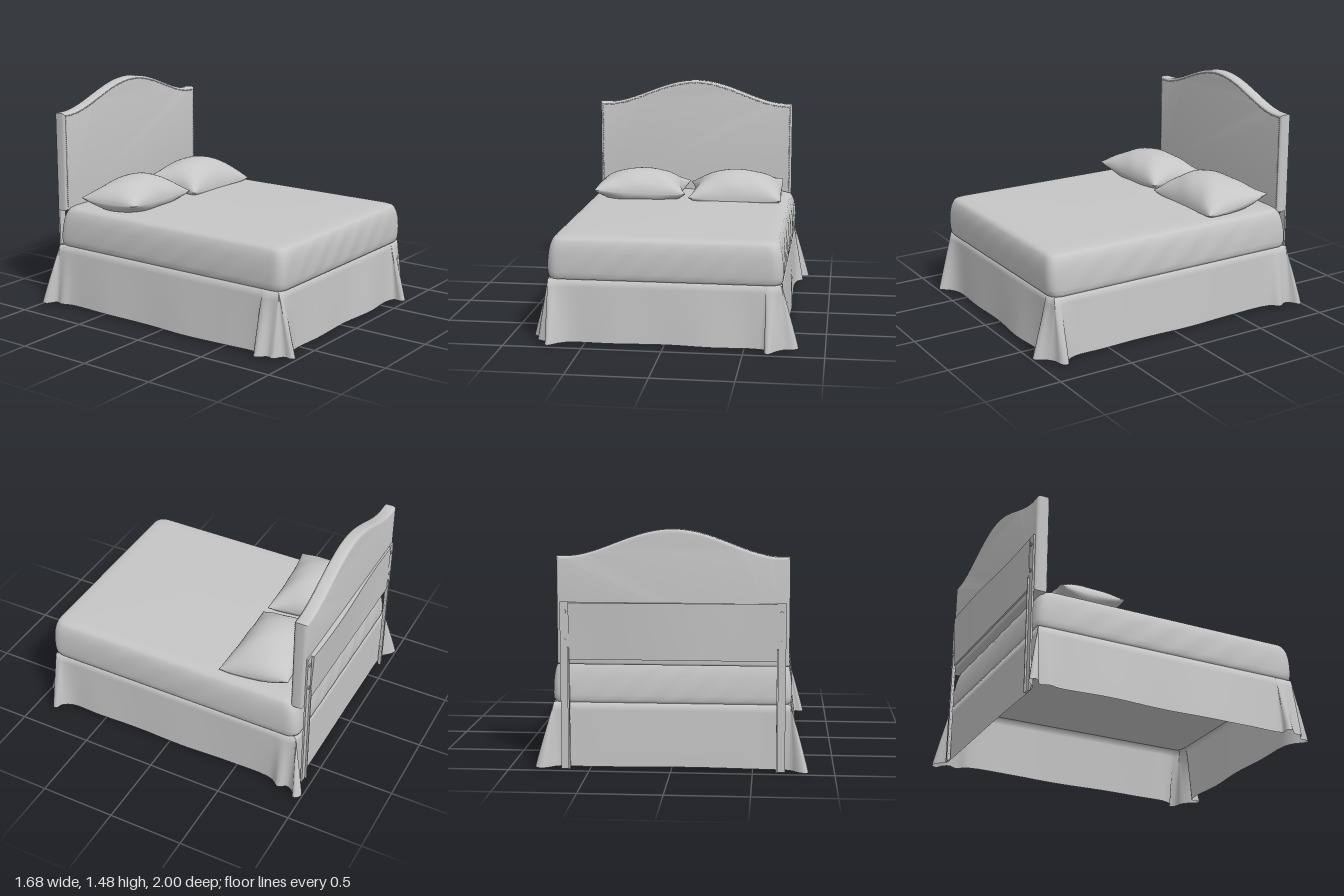
import * as THREE from 'three';
import { mergeGeometries, toCreasedNormals } from 'three/addons/utils/BufferGeometryUtils.js';

const clamp = THREE.MathUtils.clamp;

// Joins closed rings of [x, y, z] points, listed bottom to top, into a smooth skin
function loft(rings) {
  const n = rings[0].length, index = [];
  for (let j = 0; j < rings.length - 1; j++) {
    for (let i = 0; i < n; i++) {
      const a = j * n + i, b = j * n + (i + 1) % n;
      index.push(a, a + n, b, b, a + n, b + n);
    }
  }
  const geo = new THREE.BufferGeometry();
  geo.setAttribute('position', new THREE.Float32BufferAttribute(rings.flat(2), 3));
  geo.setIndex(index);
  geo.computeVertexNormals();
  return geo;
}

// Rounded rectangle ring centred at z = cz, points bunched toward the corners
function rectRing(hx, hz, cz, radius, y, ripple) {
  const pts = [], n = 48, r = Math.min(radius, hx, hz);
  for (let side = 0; side < 4; side++) {
    for (let k = 0; k < n; k++) {
      const s = Math.sin((k / n - 0.5) * Math.PI);
      const [u, v] = [[1, s], [-s, 1], [-1, -s], [s, -1]][side];
      const p = new THREE.Vector2(u * hx, v * hz);
      const core = new THREE.Vector2(clamp(p.x, r - hx, hx - r), clamp(p.y, r - hz, hz - r));
      p.sub(core).setLength(r + ripple * Math.sin(s * 23 + y * 30 + side) * (1 - s * s)).add(core);
      pts.push([p.x, y, p.y + cz]);
    }
  }
  return pts;
}

function mattressGeometry() {
  // [y, inset from the widest outline, ripple]; the full inset closes bottom and top
  const hx = 0.737, hz = 0.914;
  const rows = [[0.41, hx, 0], [0.41, 0.03, 0], [0.412, 0.012, 0], [0.43, 0.003, 0.001], [0.46, 0, 0.003],
    [0.52, 0.001, 0.004], [0.58, 0.007, 0.003], [0.62, 0.015, 0.002], [0.65, 0.026, 0.001], [0.668, 0.038, 0],
    [0.677, 0.06, 0], [0.682, 0.12, 0], [0.687, 0.4, 0], [0.689, hx, 0]];
  return loft(rows.map(([y, inset, ripple]) =>
    rectRing(hx - inset, hz - inset, -0.008 + (y - 0.41) * 0.06, 0.07, y, ripple)));
}

// Skirt hem with flared folds at the corners; its top follows the bed outline
function skirtGeometry() {
  const outline = [
    // back, then the back left corner and left side
    [-0.45, -0.925], [-0.2, -0.925], [0.2, -0.925], [0.45, -0.925], [0.64, -0.925], [0.7, -0.93], [0.76, -0.98],
    [0.8, -0.998], [0.84, -0.96], [0.785, -0.92], [0.77, -0.88], [0.8, -0.83], [0.755, -0.76], [0.742, -0.45],
    [0.752, -0.1], [0.748, 0.25], [0.757, 0.55], [0.755, 0.76],
    // front left corner and front
    [0.79, 0.83], [0.838, 0.85], [0.82, 0.885], [0.75, 0.9], [0.7, 0.94], [0.655, 1.0], [0.633, 0.985],
    [0.635, 0.925], [0.56, 0.905], [0.3, 0.925], [0, 0.905], [-0.3, 0.91], [-0.58, 0.905],
    // front right corner and right side
    [-0.65, 0.935], [-0.715, 1.0], [-0.735, 0.985], [-0.735, 0.93], [-0.8, 0.89], [-0.79, 0.85],
    [-0.843, 0.79], [-0.825, 0.765], [-0.778, 0.77], [-0.775, 0.5], [-0.782, 0.2], [-0.77, -0.1],
    [-0.78, -0.45], [-0.77, -0.78],
    // back right corner
    [-0.79, -0.86], [-0.775, -0.91], [-0.84, -0.955], [-0.83, -0.998], [-0.785, -0.985], [-0.73, -0.935],
    [-0.64, -0.925]];
  const curve = new THREE.CatmullRomCurve3(outline.map(([x, z]) => new THREE.Vector3(x, 0, z)), true);
  const hem = curve.getSpacedPoints(360).slice(0, -1);
  const topEdge = hem.map((p) => [clamp(p.x, -0.73, 0.727), 0.411, clamp(p.z, -0.912, 0.885)]);
  const rings = [];
  for (let j = 0; j <= 8; j++) {
    const t = j / 8, f = Math.pow(t, 1.05);
    rings.push(hem.map((p, i) => {
      const low = 0.013 + 0.003 * Math.sin(i * Math.PI / 30), [tx, ty, tz] = topEdge[i];
      return [p.x + (tx - p.x) * f, low + (ty - low) * t, p.z + (tz - p.z) * f];
    }));
  }
  // turned in under the mattress
  rings.push(topEdge.map(([x, , z]) => [x * 0.93, 0.413, z * 0.93]));
  return loft(rings);
}

// Pillow between four corners [x, y, z]: back left, back right, front left, front right.
// The end given by inner (-1 or 1) is drawn in more; the underside rests on the bed
function pillowGeometry([bl, br, fl, fr], inner) {
  const faces = [1, -1].map((side) => {
    const geo = new THREE.PlaneGeometry(2, 2, 32, 28), pos = geo.attributes.position;
    for (let i = 0; i < pos.count; i++) {
      const u = Math.sin(pos.getX(i) * Math.PI / 2) * side, v = Math.sin(pos.getY(i) * Math.PI / 2);
      const pinch = 0.07 + 0.06 * u * inner;
      const a = (u * (1 - pinch * (1 - v * v)) + 1) / 2, b = (v * (1 - 0.08 * (1 - u * u)) + 1) / 2;
      const mix = (k) => (fl[k] * (1 - a) + fr[k] * a) * (1 - b) + (bl[k] * (1 - a) + br[k] * a) * b;
      const puff = Math.pow(Math.max(0, (1 - u * u) * (1 - v * v)), 0.5);
      const seam = mix(1) - 0.02 * (1 - u * u * v * v);
      const crease = 0.012 * Math.sin(9 * u + 5 * v) * puff * (1 - puff);
      const y = seam + crease + (side > 0 ? 0.88 - seam : -0.1) * puff;
      pos.setXYZ(i, mix(0), Math.max(0.683, y), mix(2));
    }
    geo.computeVertexNormals();
    return geo;
  });
  return mergeGeometries(faces);
}

// Height of the arched headboard edge
const crestY = (x) =>
  1.316 + 0.165 * Math.pow(0.5 + 0.5 * Math.cos(Math.PI * Math.min(1, Math.abs(x) / 0.645)), 0.87);

function headboardGeometry() {
  const w = 0.708, shape = new THREE.Shape();
  shape.moveTo(-w, 0.65);
  shape.lineTo(w, 0.65);
  for (let i = 0; i <= 60; i++) {
    const x = w - (2 * w * i) / 60;
    shape.lineTo(x, crestY(x));
  }
  const geo = new THREE.ExtrudeGeometry(shape, { depth: 0.044, bevelSize: 0.018, bevelOffset: -0.018,
    bevelThickness: 0.02, bevelSegments: 4 });
  return toCreasedNormals(geo.translate(0, 0, -0.915), 0.6);
}

// Row of small studs following the headboard border
function studGeometry() {
  const spots = [], edge = 0.69;
  for (let y = 0.68; y < 1.29; y += 0.014) spots.push([-edge, y], [edge, y]);
  for (let i = 0; i <= 100; i++) {
    const x = -edge + (2 * edge * i) / 100;
    spots.push([x, crestY(x) - 0.018]);
  }
  return mergeGeometries(spots.map(([x, y]) =>
    new THREE.CylinderGeometry(0.003, 0.005, 0.004, 6).rotateX(Math.PI / 2).translate(x, y, -0.85)));
}

// Rear board with a slightly warped outer face
function rearPanelGeometry() {
  const geo = new THREE.BoxGeometry(1.27, 0.35, 0.02, 24, 6, 1), pos = geo.attributes.position;
  for (let i = 0; i < pos.count; i++) {
    const x = pos.getX(i), y = pos.getY(i);
    const bow = pos.getZ(i) < 0 ? 0.011 * (0.5 + y / 0.35) * (1 + Math.sin(x * 4 + 0.2)) : 0;
    pos.setZ(i, pos.getZ(i) - bow);
  }
  geo.translate(0, 0.86, -0.937);
  geo.computeVertexNormals();
  return geo;
}

export function createModel() {
  const model = new THREE.Group();
  model.name = 'bed';
  const grey = new THREE.MeshStandardMaterial({ color: 0xc6c6c6, side: THREE.DoubleSide });
  grey.name = 'plain grey';

  const add = (name, geo, parent = model) => {
    const mesh = new THREE.Mesh(geo, grey);
    mesh.name = name;
    parent.add(mesh);
  };

  add('mattress', mattressGeometry());
  add('bedSkirt', skirtGeometry());
  add('rightPillow', pillowGeometry(
    [[-0.675, 0.75, -0.75], [-0.03, 0.755, -0.77], [-0.665, 0.755, -0.295], [-0.02, 0.73, -0.34]], 1));
  add('leftPillow', pillowGeometry(
    [[-0.025, 0.75, -0.76], [0.642, 0.775, -0.805], [0, 0.71, -0.32], [0.652, 0.7, -0.325]], -1));

  // Headboard, slightly off centre
  const headboard = new THREE.Group();
  headboard.name = 'headboard';
  headboard.position.x = -0.01;
  model.add(headboard);
  add('headboardPanel', headboardGeometry(), headboard);
  add('headboardStuds', studGeometry(), headboard);
  add('rearPanel', rearPanelGeometry(), headboard);

  // Angled legs bolted to the back
  for (const side of [-1, 1]) {
    const leg = new THREE.Group();
    leg.name = side > 0 ? 'leftLeg' : 'rightLeg';
    leg.position.x = side * 0.66;
    headboard.add(leg);
    add('legPlate', new THREE.BoxGeometry(0.055, 1.04, 0.012).translate(0, 0.52, -0.94), leg);
    add('legFlange', new THREE.BoxGeometry(0.01, 0.76, 0.016).translate(-side * 0.022, 0.38, -0.949), leg);
    for (const y of [0.8, 0.98]) {
      const bolt = new THREE.CylinderGeometry(0.012, 0.012, 0.01, 10).rotateX(Math.PI / 2);
      add('legBolt', bolt.translate(0, y, -0.948), leg);
    }
  }
  return model;
}
